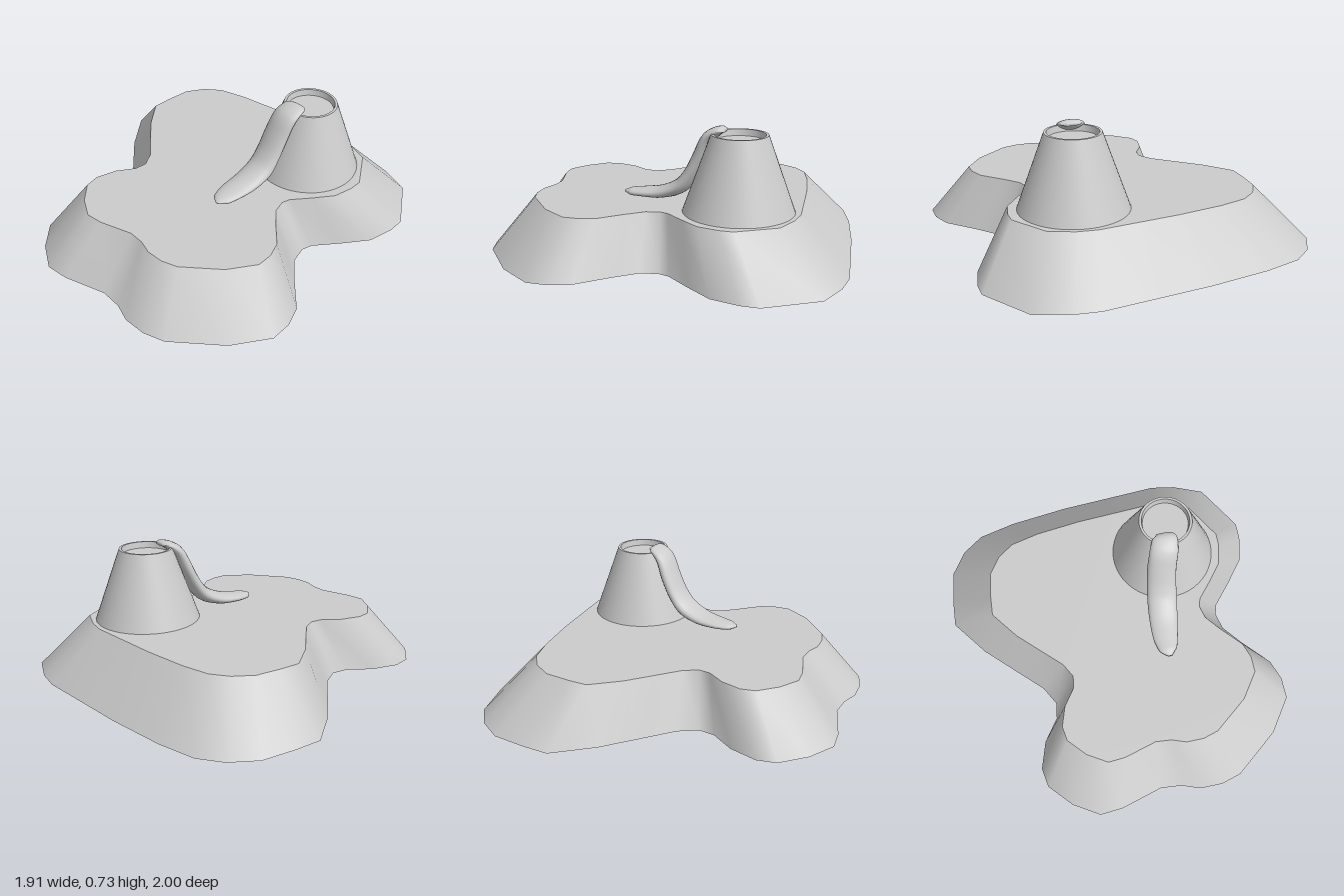
import * as THREE from 'three';
import { toCreasedNormals } from 'three/addons/utils/BufferGeometryUtils.js';

const TOP = 0.29;

// ground outline of the island as [x, z]
const OUTLINE = [
  [-0.67, -0.95], [-0.45, -0.985], [-0.1, -1], [0.2, -0.995], [0.5, -0.99], [0.64, -0.955],
  [0.81, -0.87], [0.95, -0.58], [0.94, -0.48], [0.89, -0.33], [0.77, -0.2], [0.65, -0.08],
  [0.625, -0.02], [0.64, 0.08], [0.72, 0.2], [0.85, 0.37], [0.88, 0.49], [0.87, 0.61],
  [0.72, 0.79], [0.45, 0.97], [0.33, 0.995], [0.2, 0.985], [0.1, 0.94], [-0.02, 0.92],
  [-0.27, 0.97], [-0.4, 0.97], [-0.54, 0.87], [-0.65, 0.73], [-0.66, 0.62], [-0.6, 0.47],
  [-0.5, 0.35], [-0.48, 0.26], [-0.53, 0.15], [-0.68, -0.02], [-0.82, -0.18], [-0.96, -0.4],
  [-0.94, -0.55], [-0.9, -0.74], [-0.8, -0.87],
];

// smooth skin over closed rings of Vector3
function loft(rings) {
  const n = rings[0].length, index = [];
  for (let i = 0; i < rings.length - 1; i++) {
    for (let j = 0; j < n; j++) {
      const a = i * n + j, b = i * n + (j + 1) % n;
      index.push(a, b, a + n, b, b + n, a + n);
    }
  }
  const geo = new THREE.BufferGeometry().setFromPoints(rings.flat());
  geo.setIndex(index);
  geo.computeVertexNormals();
  return geo;
}

// flat cap at height y, facing up (dir = 1) or down (dir = -1)
function cap(points, y, dir) {
  const shape = new THREE.Shape(points.map(([x, z]) => new THREE.Vector2(x, -dir * z)));
  return new THREE.ShapeGeometry(shape).rotateX(-dir * Math.PI / 2).translate(0, y, 0);
}

// lava tongue: centre line and matching (half width, half thickness)
function lavaGeometry() {
  const stations = [
    [0.343, 0.712, -0.322, 0.045, 0.008], [0.34, 0.712, -0.295, 0.068, 0.02],
    [0.318, 0.67, -0.235, 0.08, 0.034], [0.295, 0.56, -0.185, 0.083, 0.04],
    [0.283, 0.46, -0.135, 0.084, 0.04], [0.272, 0.385, -0.075, 0.086, 0.042],
    [0.25, 0.338, 0.03, 0.082, 0.034], [0.23, 0.324, 0.14, 0.072, 0.025],
    [0.224, 0.32, 0.215, 0.052, 0.02], [0.225, 0.32, 0.255, 0.012, 0.006],
  ];
  const path = new THREE.CatmullRomCurve3(stations.map(s => new THREE.Vector3(s[0], s[1], s[2])));
  const size = new THREE.CatmullRomCurve3(stations.map(s => new THREE.Vector3(s[3], s[4], 0)));
  const rings = [], steps = 45, sides = 20;
  for (let i = 0; i <= steps; i++) {
    const c = path.getPoint(i / steps), t = path.getTangent(i / steps), r = size.getPoint(i / steps);
    const side = new THREE.Vector3(1, 0, 0.25);
    side.addScaledVector(t, -side.dot(t)).normalize();
    const up = t.clone().cross(side);
    rings.push(Array.from({ length: sides }, (_, j) => {
      const a = j / sides * Math.PI * 2;
      return c.clone().addScaledVector(side, r.x * Math.cos(a)).addScaledVector(up, r.y * Math.sin(a));
    }));
  }
  // close both ends on their centre points
  rings.unshift(rings[0].map(() => path.getPoint(0)));
  rings.push(rings[0].map(() => path.getPoint(1)));
  return loft(rings);
}

export function createModel() {
  const group = new THREE.Group();
  const material = new THREE.MeshStandardMaterial({ color: 0xcccccc });
  const add = (name, geometry, parent = group) => {
    const mesh = new THREE.Mesh(geometry, material);
    mesh.name = name;
    parent.add(mesh);
    return mesh;
  };

  // island with sloping sides
  const island = new THREE.Group();
  island.name = 'island';
  group.add(island);
  const plateau = OUTLINE.map(([x, z]) => [0.75 * x + 0.015, 0.75 * z + 0.015]);
  const ring = (points, y) => points.map(([x, z]) => new THREE.Vector3(x, y, z));
  add('slope', loft([ring(plateau, TOP), ring(OUTLINE, 0)]), island);
  add('plateau', cap(plateau, TOP, 1), island);
  add('underside', cap(OUTLINE, 0, -1), island);

  // volcano cone with a shallow crater
  const profile = [[0.302, TOP - 0.01], [0.15, 0.7], [0.136, 0.7], [0.13, 0.665], [0, 0.665]]
    .map(([r, y]) => new THREE.Vector2(r, y));
  const cone = add('volcanoCone', toCreasedNormals(new THREE.LatheGeometry(profile, 48), 0.6));
  cone.position.set(0.376, 0, -0.4);

  // lava running over the rim onto the plateau
  add('lavaFlow', lavaGeometry());

  return group;
}
